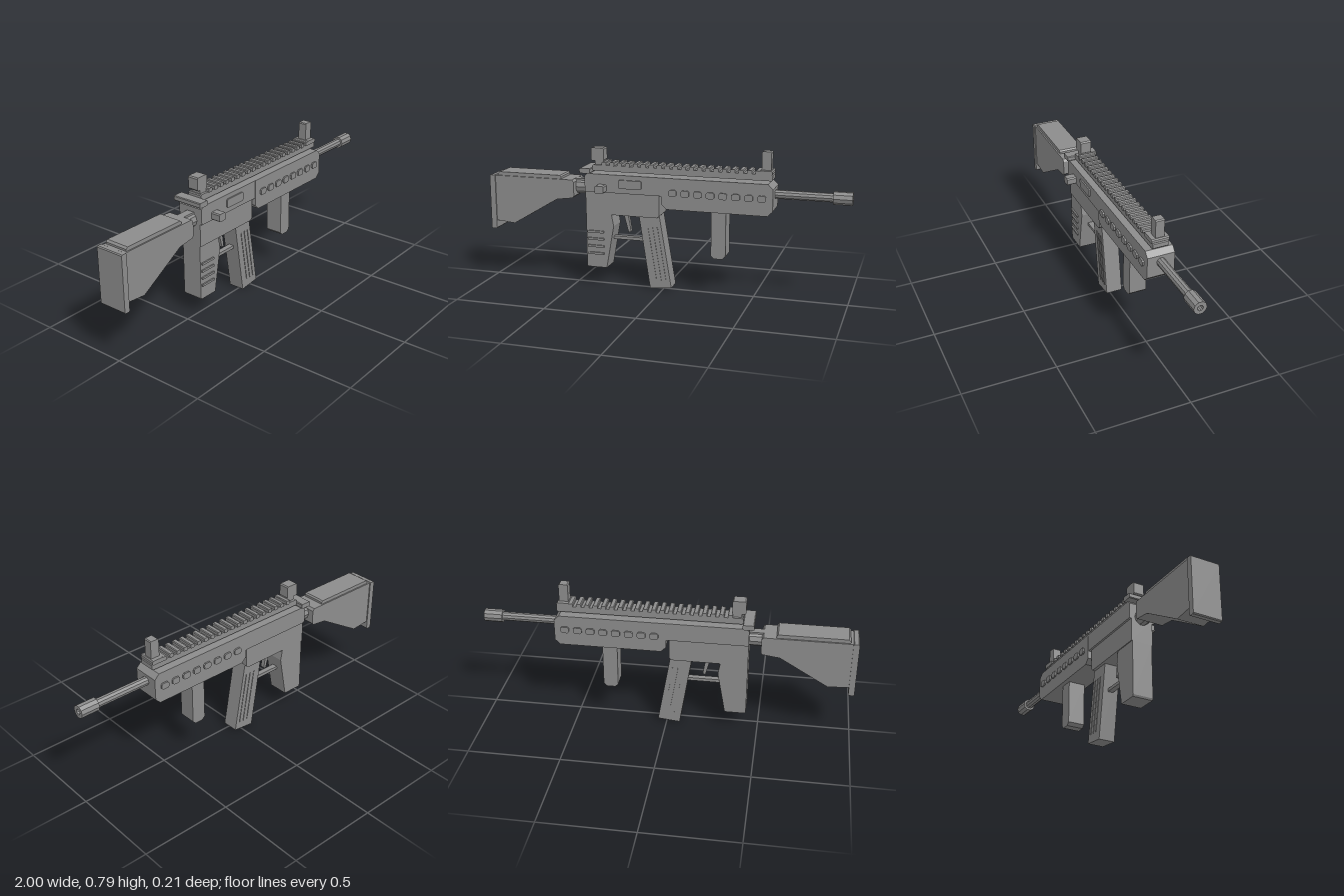
import * as THREE from 'three';

const material = new THREE.MeshStandardMaterial({ color: 0x8c8c8c, flatShading: true });

export function createModel() {
  const model = new THREE.Group();
  const body = new THREE.Group();
  body.name = 'body';
  body.position.z = -0.019;
  model.add(body);

  const add = (name, geometry, parent = body) => {
    const mesh = new THREE.Mesh(geometry, material);
    mesh.name = name;
    parent.add(mesh);
    return mesh;
  };

  // Side profile in x,y extruded between two depths
  const slab = (name, points, z0, z1, parent) => {
    const shape = new THREE.Shape(points.map(([x, y]) => new THREE.Vector2(x, y)));
    const geometry = new THREE.ExtrudeGeometry(shape, { depth: z1 - z0, bevelEnabled: false });
    geometry.translate(0, 0, z0);
    return add(name, geometry, parent);
  };

  // Rectangle with cut corners
  const cut = (x0, x1, y0, y1, c) => [
    [x0 + c, y0], [x1 - c, y0], [x1, y0 + c], [x1, y1 - c],
    [x1 - c, y1], [x0 + c, y1], [x0, y1 - c], [x0, y0 + c],
  ];

  // Round part along x
  const rod = (name, x0, x1, y, r, sides = 10) => {
    const geometry = new THREE.CylinderGeometry(r, r, x1 - x0, sides);
    geometry.rotateZ(-Math.PI / 2).translate((x0 + x1) / 2, y, 0);
    return add(name, geometry);
  };

  // Receiver
  slab('upperReceiver', [[-0.435, 0.53], [0.005, 0.53], [0.005, 0.63], [-0.42, 0.63], [-0.435, 0.615]], -0.073, 0.073);
  slab('lowerReceiver', [[-0.435, 0.405], [-0.027, 0.405], [-0.015, 0.417], [-0.015, 0.535], [-0.435, 0.535]], -0.062, 0.062);
  slab('ejectionPort', cut(-0.24, -0.11, 0.558, 0.605, 0.006), 0.06, 0.081);
  slab('selectorKnob', cut(-0.36, -0.31, 0.533, 0.575, 0.006), 0.05, 0.126);
  slab('chargingHandle', cut(-0.46, -0.4, 0.632, 0.659, 0.004), -0.086, 0.086);

  // Handguard with raised vents on both sides
  slab('handguard', [
    [0.027, 0.46], [0.573, 0.46], [0.6, 0.487], [0.6, 0.603],
    [0.573, 0.63], [0, 0.63], [0, 0.487],
  ], -0.074, 0.074);
  const vents = new THREE.Group();
  vents.name = 'vents';
  body.add(vents);
  for (let i = 0; i < 8; i++) {
    const x = 0.04 + i * 0.0685;
    for (const side of [-1, 1]) {
      slab('vent', cut(x, x + 0.045, 0.534, 0.569, 0.008),
        side > 0 ? 0.07 : -0.083, side > 0 ? 0.083 : -0.07, vents);
    }
  }
  slab('foregrip', cut(0.268, 0.348, 0.2, 0.48, 0.017), -0.048, 0.048);

  // Barrel and hollow muzzle
  rod('barrel', 0.58, 0.95, 0.566, 0.024);
  const muzzle = new THREE.LatheGeometry([
    [0.015, 0.04], [0.015, 0.1], [0.035, 0.1], [0.035, 0], [0.015, 0],
  ].map(([r, h]) => new THREE.Vector2(r, -h)), 10);
  muzzle.rotateZ(Math.PI / 2).translate(0.9, 0.566, 0);
  add('muzzle', muzzle).material = Object.assign(material.clone(), { side: THREE.DoubleSide });

  // Top rail with teeth
  slab('railBase', cut(-0.4, 0.59, 0.641, 0.674, 0.005), -0.042, 0.042);
  const teeth = new THREE.Group();
  teeth.name = 'railTeeth';
  body.add(teeth);
  for (let i = 0; i < 21; i++) {
    const x = -0.345 + i * 0.0445;
    slab('railTooth', cut(x, x + 0.026, 0.67, 0.692, 0.004), -0.047, 0.047, teeth);
  }

  // Sights
  slab('rearSightBase', cut(-0.39, -0.34, 0.665, 0.7, 0.005), -0.028, 0.028);
  slab('rearSight', cut(-0.412, -0.34, 0.694, 0.765, 0.006), -0.03, 0.03);
  slab('frontSightBase', cut(0.52, 0.588, 0.67, 0.694, 0.005), -0.047, 0.047);
  slab('frontSight', cut(0.528, 0.578, 0.688, 0.791, 0.005), -0.024, 0.024);

  // Stock
  rod('bufferTube', -0.59, -0.42, 0.545, 0.042);
  slab('tubeRail', [[-0.52, 0.555], [-0.43, 0.555], [-0.43, 0.588], [-0.52, 0.588]], -0.022, 0.022);
  slab('stock', [
    [-0.97, 0.33], [-0.86, 0.32], [-0.6, 0.475], [-0.51, 0.487], [-0.5, 0.497],
    [-0.5, 0.575], [-0.51, 0.588], [-0.97, 0.588],
  ], -0.074, 0.074);
  slab('cheekRest', [[-0.955, 0.58], [-0.576, 0.58], [-0.576, 0.6], [-0.584, 0.608], [-0.945, 0.608], [-0.955, 0.598]], -0.066, 0.066);
  slab('buttPlate', cut(-1, -0.968, 0.282, 0.59, 0.005), -0.08, 0.08);

  // Grip with ridges on its left face
  slab('grip', [[-0.43, 0.1], [-0.32, 0.1], [-0.277, 0.34], [-0.29, 0.41], [-0.435, 0.41], [-0.435, 0.11]], -0.057, 0.057);
  for (let i = 0; i < 4; i++) {
    const y = 0.174 + i * 0.041;
    slab('gripRidge', cut(-0.427, -0.333, y, y + 0.012, 0.002), 0.05, 0.065);
  }

  // Magazine with slim ribs following its slant
  slab('magazine', [[-0.072, 0], [0.048, 0.013], [-0.021, 0.42], [-0.137, 0.42]], -0.045, 0.045);
  for (const offset of [-0.027, 0, 0.027]) {
    const rib = new THREE.BoxGeometry(0.005, 0.3, 0.096);
    rib.rotateZ(0.163).translate(-0.035 + offset, 0.2, 0);
    add('magazineRib', rib);
  }

  // Trigger and guard
  slab('trigger', [[-0.235, 0.41], [-0.222, 0.36], [-0.206, 0.3], [-0.192, 0.305], [-0.2, 0.36], [-0.212, 0.41]], -0.012, 0.012);
  slab('triggerGuard', [[-0.3, 0.258], [-0.1, 0.258], [-0.1, 0.275], [-0.3, 0.275]], -0.015, 0.015);

  return model;
}
